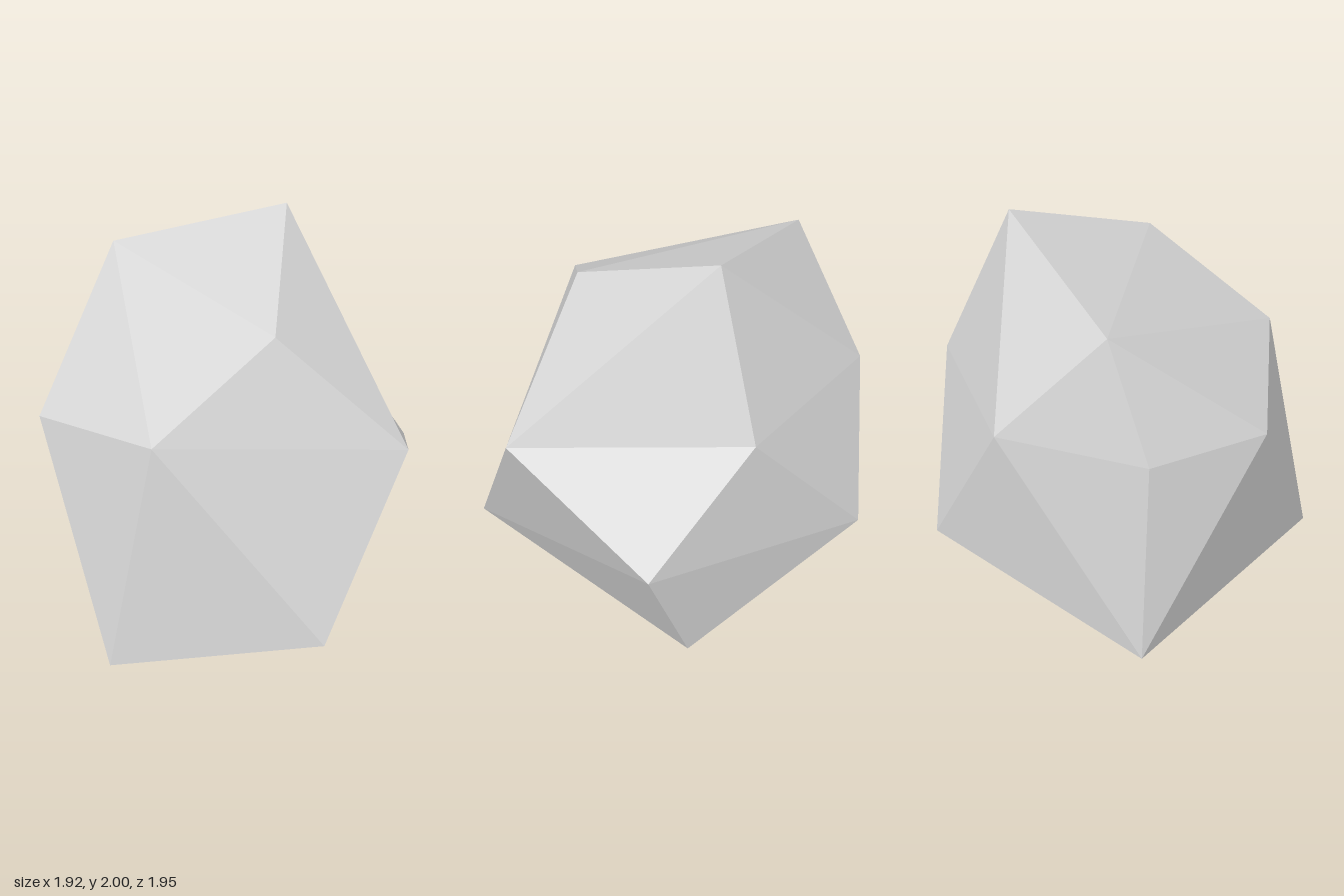
import * as THREE from 'three';

export function createModel() {
  const group = new THREE.Group();
  group.name = 'rock';

  const stone = new THREE.MeshStandardMaterial({ color: 0xd5d5d5 });
  stone.name = 'light grey stone';

  // Corners of the boulder, from the crown down to the foot
  const corners = {
    // crown
    K: [0.56, 2.0, 0.0], L: [0.04, 1.765, -0.7], J: [-0.085, 1.7, 0.43],
    // shoulders
    M: [-0.71, 1.305, 0.2], B: [0.56, 1.25, -0.785], D: [0.91, 1.21, -0.02],
    N: [-0.16, 1.15, -0.845], I: [-0.7, 1.15, -0.55], F: [0.29, 1.09, 0.975],
    // sides
    E: [0.96, 0.615, 0.55], C: [0.91, 0.51, -0.63],
    // foot
    G: [-0.3, 0.2, 0.945], H: [-0.965, 0.05, 0.105], A: [-0.14, 0.03, -0.975], P: [0.9, 0.0, 0.31],
  };

  // Facets, each named by its three corners
  const facets = [
    'KJF KFD KDB KBL KLJ', // around the peak
    'JLM MLI ILN NLB', // top and upper back
    'JMF FMG GMH HMI', // front and right side
    'FGE FED EGP', // lower front
    'DEC DCB CEP CPA BCA', // left side
    'NBA INA HIA', // back
    'HAP GHP', // underside
  ].join(' ').split(' ');

  const points = facets.flatMap(f => [...f].flatMap(c => corners[c]));
  const geometry = new THREE.BufferGeometry();
  geometry.setAttribute('position', new THREE.Float32BufferAttribute(points, 3));
  geometry.computeVertexNormals(); // unshared corners keep every facet flat

  const boulder = new THREE.Mesh(geometry, stone);
  boulder.name = 'boulder';
  group.add(boulder);
  return group;
}
